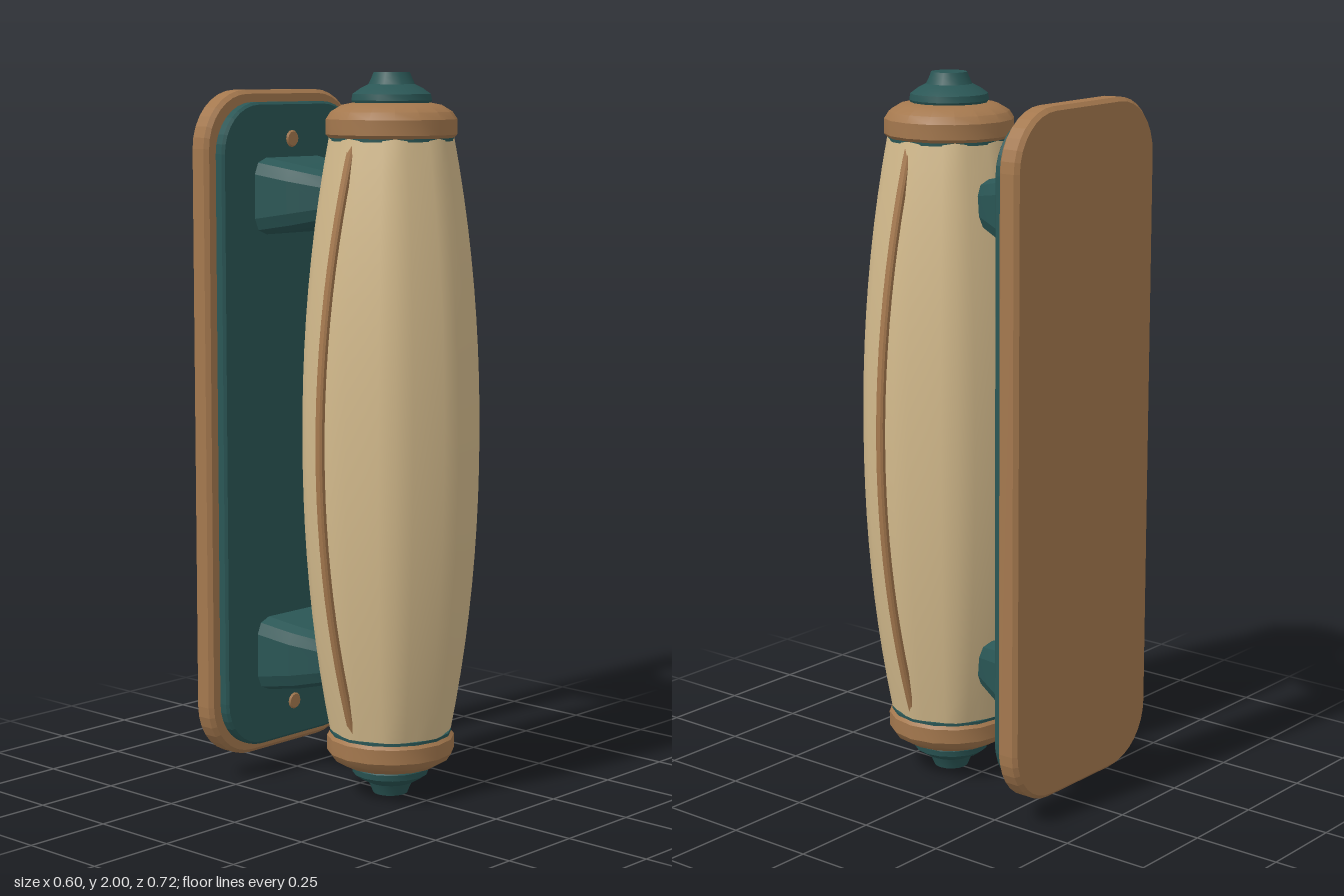
import * as THREE from 'three';
import { toCreasedNormals } from 'three/addons/utils/BufferGeometryUtils.js';

const cream = new THREE.MeshStandardMaterial({ color: 0xd3ba8c });
cream.name = 'cream grip';
const wood = new THREE.MeshStandardMaterial({ color: 0xa4784e });
wood.name = 'warm wood';
const teal = new THREE.MeshStandardMaterial({ color: 0x2a5655 });
teal.name = 'dark teal';

const GRIP_Z = 0.115;

function add(parent, name, geometry, material, x = 0, y = 0, z = 0) {
  const mesh = new THREE.Mesh(geometry, material);
  mesh.name = name;
  mesh.position.set(x, y, z);
  parent.add(mesh);
  return mesh;
}

function lathe(points, segments) {
  const g = new THREE.LatheGeometry(points.map(([r, y]) => new THREE.Vector2(r, y)), segments);
  return toCreasedNormals(g, 0.5);
}

// Upright plate with rounded corners and chamfered edges, back face at z = 0
function plate(w, h, depth, radius, bevel) {
  const x = w / 2 - bevel, y = h / 2 - bevel, r = radius - bevel;
  const s = new THREE.Shape();
  s.absarc(x - r, y - r, r, 0, Math.PI / 2);
  s.absarc(r - x, y - r, r, Math.PI / 2, Math.PI);
  s.absarc(r - x, r - y, r, Math.PI, Math.PI * 1.5);
  s.absarc(x - r, r - y, r, Math.PI * 1.5, Math.PI * 2);
  const g = new THREE.ExtrudeGeometry(s, {
    depth: depth - 2 * bevel, bevelEnabled: true, bevelSize: bevel,
    bevelThickness: bevel, bevelSegments: 1, curveSegments: 4,
  });
  return g.translate(0, 0, bevel);
}

// Skin a list of equal-length closed rings, with flat end caps
function loft(rings, crease) {
  const n = rings[0].length, pos = rings.flat(2), index = [];
  for (let i = 0; i < rings.length - 1; i++) {
    for (let j = 0; j < n; j++) {
      const a = i * n + j, b = i * n + (j + 1) % n;
      index.push(a, b, b + n, a, b + n, a + n);
    }
  }
  const last = (rings.length - 1) * n;
  for (let j = 1; j < n - 1; j++) {
    index.push(0, j + 1, j, last, last + j, last + j + 1);
  }
  const g = new THREE.BufferGeometry();
  g.setAttribute('position', new THREE.Float32BufferAttribute(pos, 3));
  g.setIndex(index);
  return toCreasedNormals(g, crease);
}

// Swelling grip with eight soft lobes
function gripGeometry() {
  const rings = [], n = 32, steps = 20;
  for (let i = 0; i <= steps; i++) {
    const t = (i / steps) * 2 - 1;
    const r = 0.165 + 0.073 * (1 - Math.pow(Math.abs(t), 2.1));
    const ring = [];
    for (let j = 0; j < n; j++) {
      const a = (j / n) * Math.PI * 2;
      const k = r * (1 + 0.025 * Math.cos(8 * a));
      ring.push([k * Math.sin(a), 1.005 + t * 0.825, k * Math.cos(a)]);
    }
    rings.push(ring);
  }
  return loft(rings, 0.6);
}

// Tapering bracket with rounded-rectangle sections along z
function bracketGeometry() {
  const sections = [ // z, half width, half height, corner radius
    [-0.27, 0.15, 0.108, 0.045],
    [-0.155, 0.132, 0.09, 0.045],
    [-0.05, 0.08, 0.066, 0.04],
    [-0.03, 0.068, 0.045, 0.03],
  ];
  const rings = sections.map(([z, w, h, r]) => {
    const ring = [];
    for (let q = 0; q < 4; q++) {
      const sx = q === 0 || q === 3 ? 1 : -1, sy = q < 2 ? 1 : -1;
      for (let k = 0; k <= 2; k++) {
        const a = (q + k / 2) * Math.PI / 2;
        ring.push([sx * (w - r) + r * Math.cos(a), sy * (h - r) + r * Math.sin(a), z]);
      }
    }
    return ring;
  });
  return loft(rings, 0.3);
}

// Slim bowed rib with a chamfered section, standing off the side of the grip
function ribGeometry(side) {
  const rings = [], steps = 24;
  const section = [[-0.01, -0.007], [-0.01, 0.007], [-0.005, 0.012], [0.005, 0.012],
    [0.01, 0.007], [0.01, -0.007], [0.005, -0.012], [-0.005, -0.012]];
  for (let i = 0; i <= steps; i++) {
    const t = (i / steps) * 2 - 1;
    const x = 0.155 + 0.134 * (1 - t * t);
    const ring = section.map(([dx, dz]) => [side * (x + dx), 1.005 + t * 0.82, 0.12 + dz]);
    rings.push(side > 0 ? ring : ring.reverse());
  }
  return loft(rings, 0.5);
}

export function createModel() {
  const model = new THREE.Group();
  model.name = 'pullHandle';

  // Mounting plates
  add(model, 'backPlate', plate(0.6, 1.89, 0.065, 0.16, 0.011), wood, 0, 1.006, -0.36);
  add(model, 'facePlate', plate(0.54, 1.825, 0.036, 0.14, 0.007), teal, 0, 1.005, -0.296);

  // Brackets and screws
  const bracket = bracketGeometry();
  const screw = new THREE.CylinderGeometry(0.02, 0.025, 0.006, 12).rotateX(Math.PI / 2);
  for (const [name, y, screwY] of [['upper', 1.658, 1.815], ['lower', 0.355, 0.195]]) {
    add(model, name + 'Bracket', bracket, teal, 0, y, 0);
    add(model, name + 'Screw', screw, wood, 0, screwY, -0.258);
  }

  // Grip and side ribs
  add(model, 'grip', gripGeometry(), cream, 0, 0, GRIP_Z);
  add(model, 'leftRib', ribGeometry(1), wood);
  add(model, 'rightRib', ribGeometry(-1), wood);

  // End fittings, the lower set turned upside down
  const gasket = lathe([[0, 1.817], [0.17, 1.817], [0.17, 1.83], [0, 1.83]], 16);
  const collar = lathe([[0, 1.823], [0.168, 1.823], [0.178, 1.834], [0.178, 1.875],
    [0.165, 1.895], [0.135, 1.913], [0.1, 1.92], [0, 1.92]], 16);
  const finial = lathe([[0, 1.905], [0.1, 1.905], [0.109, 1.925], [0.106, 1.942],
    [0.085, 1.957], [0.063, 1.968], [0.055, 1.985], [0.049, 2], [0, 2]], 16);
  for (const name of ['upper', 'lower']) {
    const end = new THREE.Group();
    end.name = name + 'End';
    add(end, 'gasket', gasket, teal);
    add(end, 'collar', collar, wood);
    add(end, 'finial', finial, teal);
    end.position.z = GRIP_Z;
    if (name === 'lower') {
      end.rotation.x = Math.PI;
      end.position.y = 2;
    }
    model.add(end);
  }
  return model;
}
